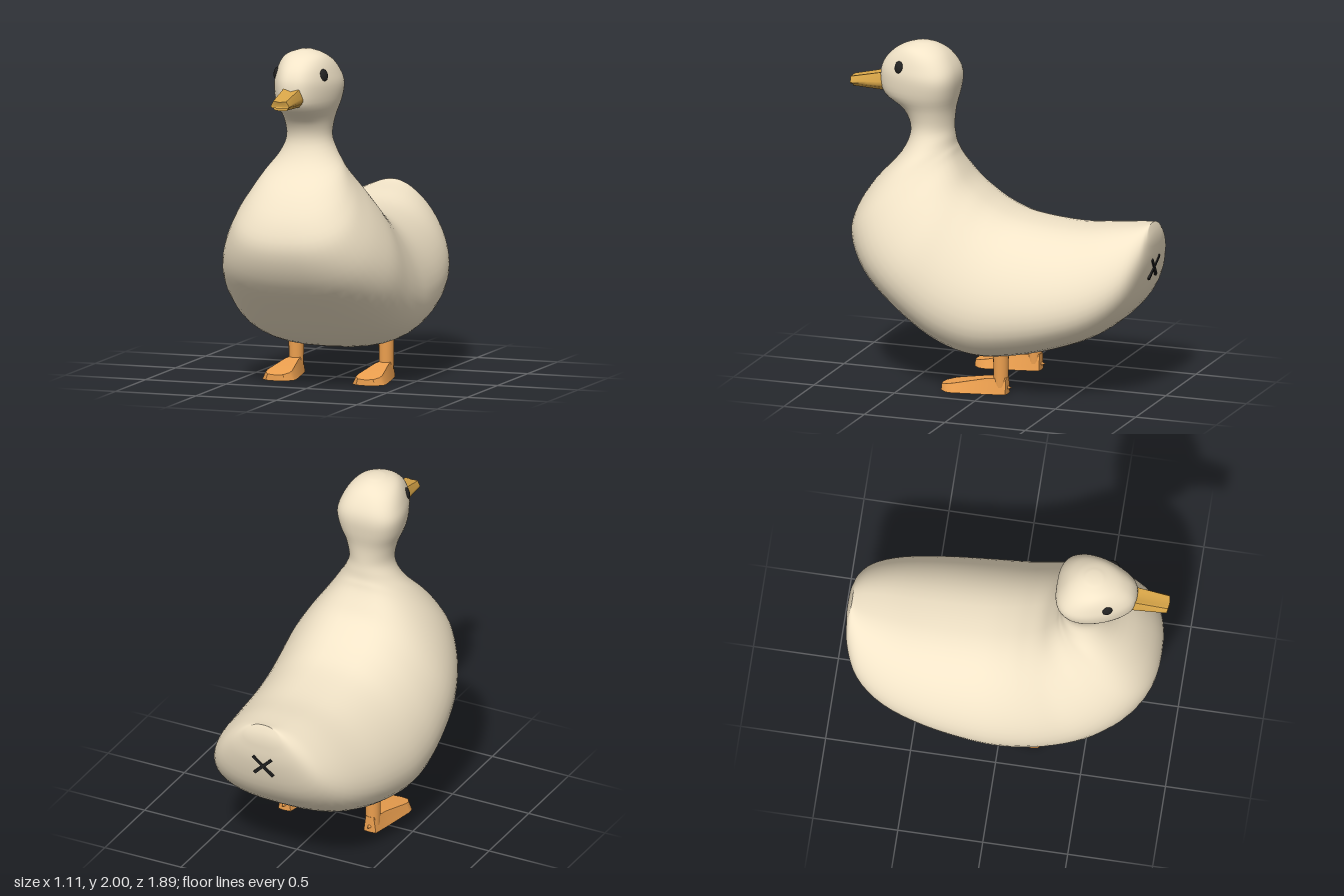
import * as THREE from 'three';
import { toCreasedNormals } from 'three/addons/utils/BufferGeometryUtils.js';

const mat = color => new THREE.MeshStandardMaterial({ color });
const plumage = mat(0xf2e4c8), billMat = mat(0xd9a648), legMat = mat(0xeda04f), dark = mat(0x222222);

// Body rings from tail to crown: [back z, back y, belly z, belly y, half width, skew to belly]
const RINGS = [
  [-0.92, 1.04, -0.945, 0.95, 0.1, 0.2],
  [-0.9, 1.035, -0.925, 0.77, 0.22, 0.33],
  [-0.84, 1.025, -0.84, 0.55, 0.35, 0.35],
  [-0.7, 1.01, -0.66, 0.38, 0.45, 0.33],
  [-0.45, 0.985, -0.4, 0.27, 0.515, 0.3],
  [-0.15, 1.01, -0.1, 0.2, 0.55, 0.3],
  [0.02, 1.07, 0.12, 0.195, 0.555, 0.3],
  [0.13, 1.14, 0.35, 0.275, 0.55, 0.3],
  [0.2, 1.2, 0.6, 0.45, 0.53, 0.3],
  [0.25, 1.27, 0.8, 0.63, 0.465, 0.28],
  [0.285, 1.33, 0.9, 0.83, 0.38, 0.26],
  [0.3, 1.37, 0.88, 0.99, 0.31, 0.2],
  [0.31, 1.4, 0.78, 1.16, 0.245, 0.12],
  [0.315, 1.44, 0.63, 1.33, 0.175, 0.05],
  [0.32, 1.5, 0.575, 1.47, 0.135, 0],
  [0.315, 1.6, 0.62, 1.59, 0.15, -0.15],
  [0.295, 1.7, 0.74, 1.68, 0.185, -0.35],
  [0.285, 1.79, 0.76, 1.8, 0.2, -0.4],
  [0.3, 1.86, 0.735, 1.88, 0.183, -0.35],
  [0.345, 1.93, 0.68, 1.94, 0.15, -0.2],
  [0.4, 1.975, 0.62, 1.975, 0.105, 0],
  [0.46, 1.998, 0.55, 1.998, 0.04, 0],
];

// Skin the rings, which fan round from the upright torso to the level neck and head
function bodyGeometry() {
  const back = new THREE.CatmullRomCurve3(RINGS.map(r => new THREE.Vector3(r[0], r[1], r[4])), false, 'catmullrom');
  const belly = new THREE.CatmullRomCurve3(RINGS.map(r => new THREE.Vector3(r[2], r[3], r[5])), false, 'catmullrom');
  const rows = (RINGS.length - 1) * 4, n = 48, pos = [], index = [];
  for (let i = 0; i <= rows; i++) {
    const a = back.getPoint(i / rows), b = belly.getPoint(i / rows);
    const boxy = 1 - 0.7 * Math.abs(b.z);
    for (let j = 0; j < n; j++) {
      const t = (j / n) * Math.PI * 2, s = (1 - Math.cos(t)) / 2;
      const across = Math.sin(t - b.z * Math.sin(t));
      const x = a.z * Math.sign(across) * Math.abs(across) ** boxy;
      pos.push(x, a.y + (b.y - a.y) * s, a.x + (b.x - a.x) * s);
    }
  }
  for (let i = 0; i < rows; i++) for (let j = 0; j < n; j++) {
    const p = i * n + j, q = i * n + (j + 1) % n;
    index.push(p, p + n, q, q, p + n, q + n);
  }
  // Close the tail and the crown
  const first = RINGS[0], last = RINGS[RINGS.length - 1], c = pos.length / 3;
  pos.push(0, (first[1] + first[3]) / 2, (first[0] + first[2]) / 2, 0, 2, (last[0] + last[2]) / 2);
  for (let j = 0; j < n; j++) {
    const k = (j + 1) % n;
    index.push(c, j, k, c + 1, rows * n + k, rows * n + j);
  }
  const g = new THREE.BufferGeometry();
  g.setAttribute('position', new THREE.Float32BufferAttribute(pos, 3));
  g.setIndex(index);
  g.computeVertexNormals();
  return g;
}

function moveVertices(g, rule) {
  const p = g.attributes.position, v = new THREE.Vector3();
  for (let i = 0; i < p.count; i++) {
    rule(v.fromBufferAttribute(p, i));
    p.setXYZ(i, v.x, v.y, v.z);
  }
  return g;
}

// Extrude a symmetric outline given by its right half
function mirroredExtrude(half, depth) {
  const pts = [...half, ...half.filter(p => p[0] > 0).reverse().map(([x, y]) => [-x, y])];
  const shape = new THREE.Shape(pts.map(([x, y]) => new THREE.Vector2(x, y)));
  return new THREE.ExtrudeGeometry(shape, { depth, bevelEnabled: false, steps: 4 });
}

function add(parent, name, geometry, material) {
  const m = new THREE.Mesh(geometry, material);
  m.name = name;
  parent.add(m);
  return m;
}

// One half of the bill, tapering from the face to the tip
function billHalf(half, length, thin) {
  const g = moveVertices(mirroredExtrude(half, length), v => {
    const t = v.z / length;
    v.x *= 1 - 0.2 * t;
    v.y *= 1 - thin * t;
    v.z -= 3 * v.x * v.x * t;
  });
  return toCreasedNormals(g, 1);
}

// Wedge foot: flat sole, top sloping from ankle to toes
function footGeometry() {
  const outline = [[0, -0.125], [0.04, -0.12], [0.065, 0], [0.1, 0.19], [0.095, 0.23], [0.06, 0.27], [0, 0.28]];
  const g = mirroredExtrude(outline, 1).rotateX(Math.PI / 2).translate(0, 1, 0);
  moveVertices(g, v => {
    const h = THREE.MathUtils.mapLinear(Math.max(v.z, -0.05), -0.05, 0.28, 0.1, 0.035);
    v.x *= 1 - v.y * THREE.MathUtils.mapLinear(h, 0.035, 0.1, 0.2, 0.35);
    v.y *= h;
  });
  return toCreasedNormals(g, 0.7);
}

export function createModel() {
  const duck = new THREE.Group();
  duck.name = 'duck';
  add(duck, 'body', bodyGeometry(), plumage);

  // Bill
  const upper = billHalf([[0, 0], [0.06, 0], [0.07, 0.015], [0.068, 0.035], [0.05, 0.09], [0.03, 0.088], [0, 0.078]], 0.22, 0.55);
  add(duck, 'upperBill', upper, billMat).position.set(0, 1.71, 0.73);
  const lower = billHalf([[0, -0.025], [0.045, -0.02], [0.062, 0], [0, 0]], 0.2, 0.3);
  add(duck, 'lowerBill', lower, billMat).position.set(0, 1.71, 0.735);

  // Eyes, legs and feet
  for (const [side, s] of [['left', 1], ['right', -1]]) {
    const eye = add(duck, side + 'Eye', new THREE.SphereGeometry(1, 20, 14), dark);
    eye.scale.set(0.016, 0.036, 0.03);
    eye.position.set(s * 0.147, 1.865, 0.605);
    eye.rotation.set(0, -s * 0.45, s * 0.2);

    const leg = new THREE.Group();
    leg.name = side + 'Leg';
    leg.position.x = s * 0.28;
    add(leg, 'shank', new THREE.CylinderGeometry(0.046, 0.042, 0.2, 20), legMat).position.set(0, 0.14, -0.08);
    add(leg, 'foot', footGeometry(), legMat);
    const spur = add(leg, 'heelSpur', new THREE.ConeGeometry(0.025, 0.06, 10), legMat);
    spur.position.set(0, 0.037, -0.12);
    spur.rotation.x = -Math.PI / 2;
    duck.add(leg);
  }

  // Crossed mark under the tail
  const mark = new THREE.Group();
  mark.name = 'tailMark';
  mark.position.set(0, 0.77, -0.924);
  mark.rotation.x = -0.17;
  for (const s of [1, -1]) {
    add(mark, 'markBar', new THREE.BoxGeometry(0.17, 0.018, 0.016), dark).rotation.z = s * Math.PI / 4;
  }
  duck.add(mark);
  return duck;
}
